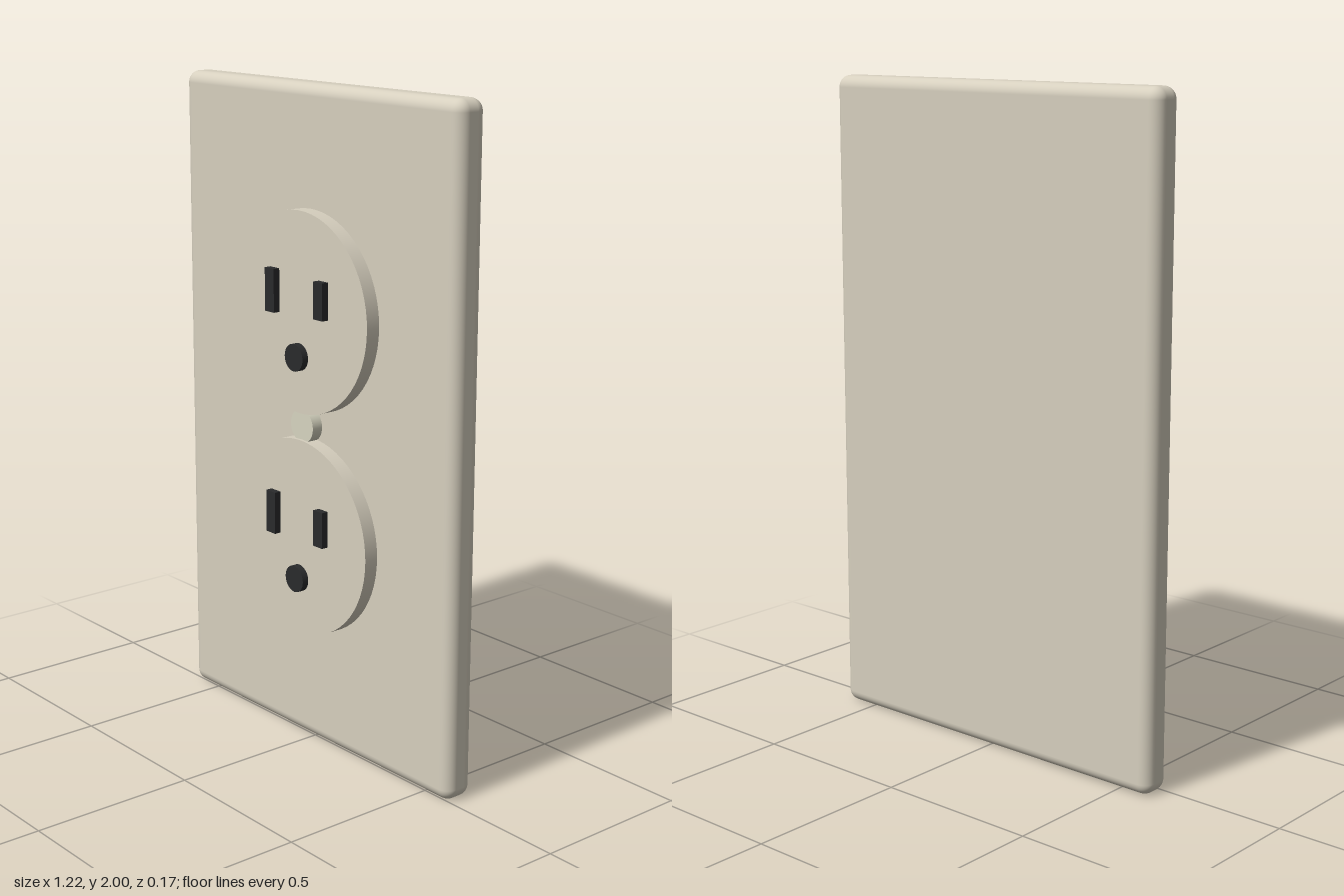
import * as THREE from 'three';
import { RoundedBoxGeometry } from 'three/addons/geometries/RoundedBoxGeometry.js';

function material(name, color) {
  const m = new THREE.MeshStandardMaterial({ color });
  m.name = name;
  return m;
}

export function createModel() {
  const ivory = material('ivory', 0xd6cfbe);
  const screwIvory = material('screwIvory', 0xd6d4c0);
  const black = material('black', 0x2a2b2c);
  const root = new THREE.Group();
  root.name = 'wallOutlet';

  function add(parent, name, geometry, mat, x, y, z) {
    const mesh = new THREE.Mesh(geometry, mat);
    mesh.name = name;
    mesh.position.set(x, y, z);
    parent.add(mesh);
    return mesh;
  }

  // Disc whose axis points to the front, spanning z0 to z1
  function disc(parent, name, radius, z0, z1, y, mat, sides) {
    const g = new THREE.CylinderGeometry(radius, radius, z1 - z0, sides).rotateX(Math.PI / 2);
    return add(parent, name, g, mat, 0, y, (z0 + z1) / 2);
  }

  // Cover plate with rounded edges
  add(root, 'coverPlate', new RoundedBoxGeometry(1.22, 2, 0.102, 5, 0.036), ivory, 0, 1, -0.034);

  // Two identical sockets, each with two blade slots and a ground hole
  for (const [name, y] of [['upperSocket', 1.344], ['lowerSocket', 0.662]]) {
    const socket = new THREE.Group();
    socket.name = name;
    socket.position.y = y;
    root.add(socket);
    disc(socket, 'socketFace', 0.3, 0, 0.062, 0, ivory, 64);
    add(socket, 'neutralSlot', new THREE.BoxGeometry(0.042, 0.13, 0.04), black, -0.112, 0.054, 0.063);
    add(socket, 'hotSlot', new THREE.BoxGeometry(0.04, 0.11, 0.04), black, 0.11, 0.054, 0.063);
    disc(socket, 'groundHole', 0.041, 0.043, 0.083, -0.13, black, 32);
  }

  // Centre screw between the sockets
  disc(root, 'centreScrew', 0.051, 0, 0.052, 1.003, screwIvory, 32);

  return root;
}
